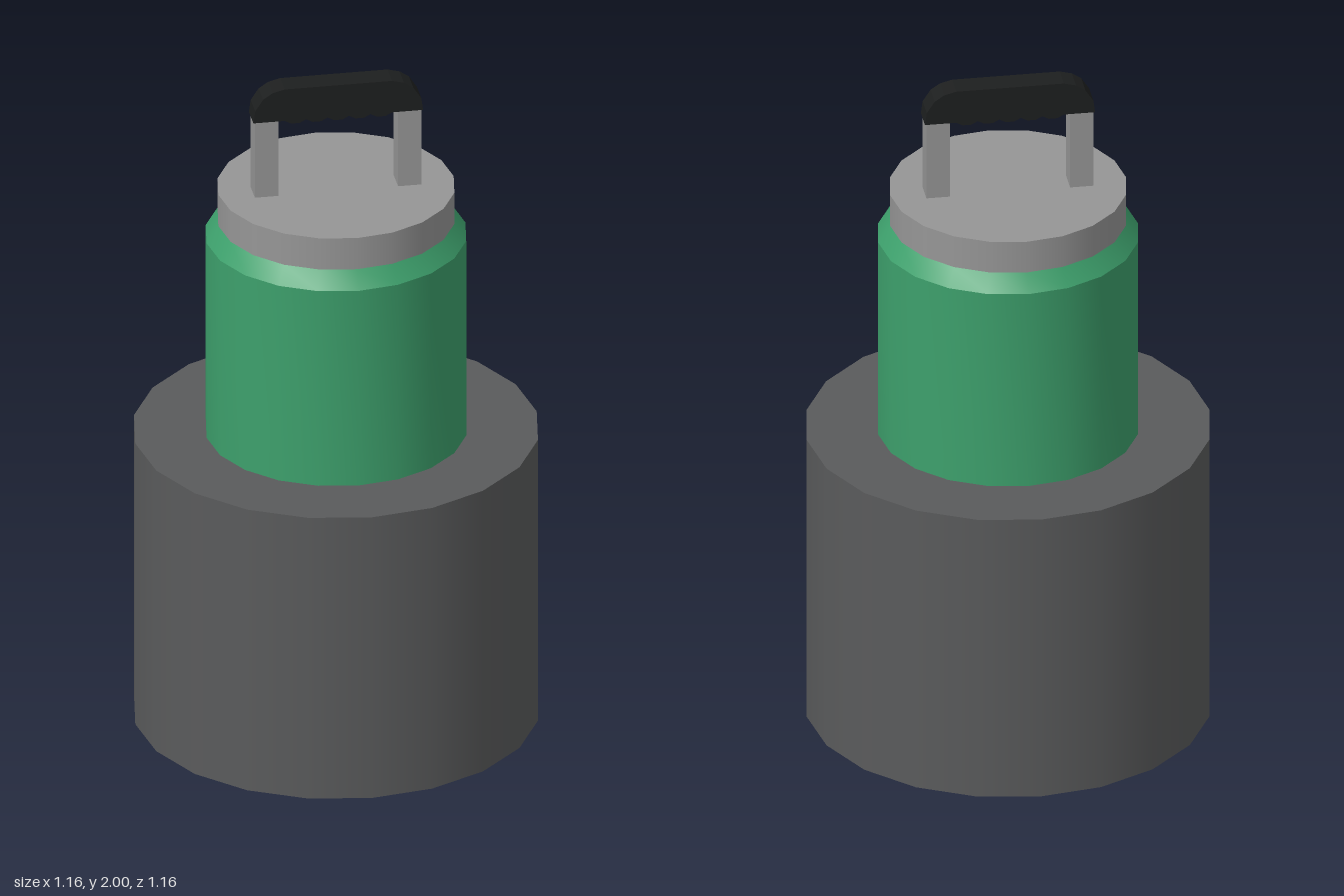
import * as THREE from 'three';
import { toCreasedNormals } from 'three/addons/utils/BufferGeometryUtils.js';

const SIDES = 20;
const paint = (color) => new THREE.MeshStandardMaterial({ color });

export function createModel() {
  const model = new THREE.Group();
  const darkGrey = paint(0x5a5b5c);
  const green = paint(0x3da06c);
  const metal = paint(0x969696);
  const black = paint(0x1d1f1f);

  const add = (name, geometry, material, x = 0, y = 0, z = 0) => {
    const mesh = new THREE.Mesh(geometry, material);
    mesh.name = name;
    mesh.position.set(x, y, z);
    model.add(mesh);
  };

  // Wide base drum
  add('base', new THREE.CylinderGeometry(0.58, 0.58, 0.893, SIDES), darkGrey, 0, 0.4465);

  // Green canister with a chamfered shoulder
  const profile = [[0, 0.88], [0.374, 0.88], [0.374, 1.512], [0.34, 1.564], [0, 1.564]]
    .map(([r, y]) => new THREE.Vector2(r, y));
  add('canister', toCreasedNormals(new THREE.LatheGeometry(profile, SIDES), 0.5), green);

  // Metal lid
  add('lid', new THREE.CylinderGeometry(0.34, 0.34, 0.11, SIDES), metal, 0, 1.608);

  // Handle posts
  for (const [name, side] of [['leftPost', 1], ['rightPost', -1]]) {
    add(name, new THREE.BoxGeometry(0.068, 0.26, 0.073), metal, side * 0.207, 1.785);
  }

  // Grip: rounded top corners and finger scallops underneath
  const shape = new THREE.Shape();
  shape.moveTo(0.245, 1.9);
  for (const [x, y] of [[0.24, 1.938], [0.217, 1.973], [0.19, 1.991], [0.155, 2]]) shape.lineTo(x, y);
  for (const [x, y] of [[-0.155, 2], [-0.19, 1.991], [-0.217, 1.973], [-0.24, 1.938], [-0.245, 1.9]]) shape.lineTo(x, y);
  const bumps = 5, start = -0.155, width = 0.062;
  shape.lineTo(start, 1.9);
  for (let i = 0; i < bumps; i++) {
    const x = start + i * width;
    shape.lineTo(x + width * 0.3, 1.89);
    shape.lineTo(x + width * 0.7, 1.89);
    shape.lineTo(x + width, 1.9);
  }
  const grip = new THREE.ExtrudeGeometry(shape, { depth: 0.074, bevelEnabled: false });
  grip.translate(0, 0, -0.037);
  add('grip', grip, black);

  return model;
}
